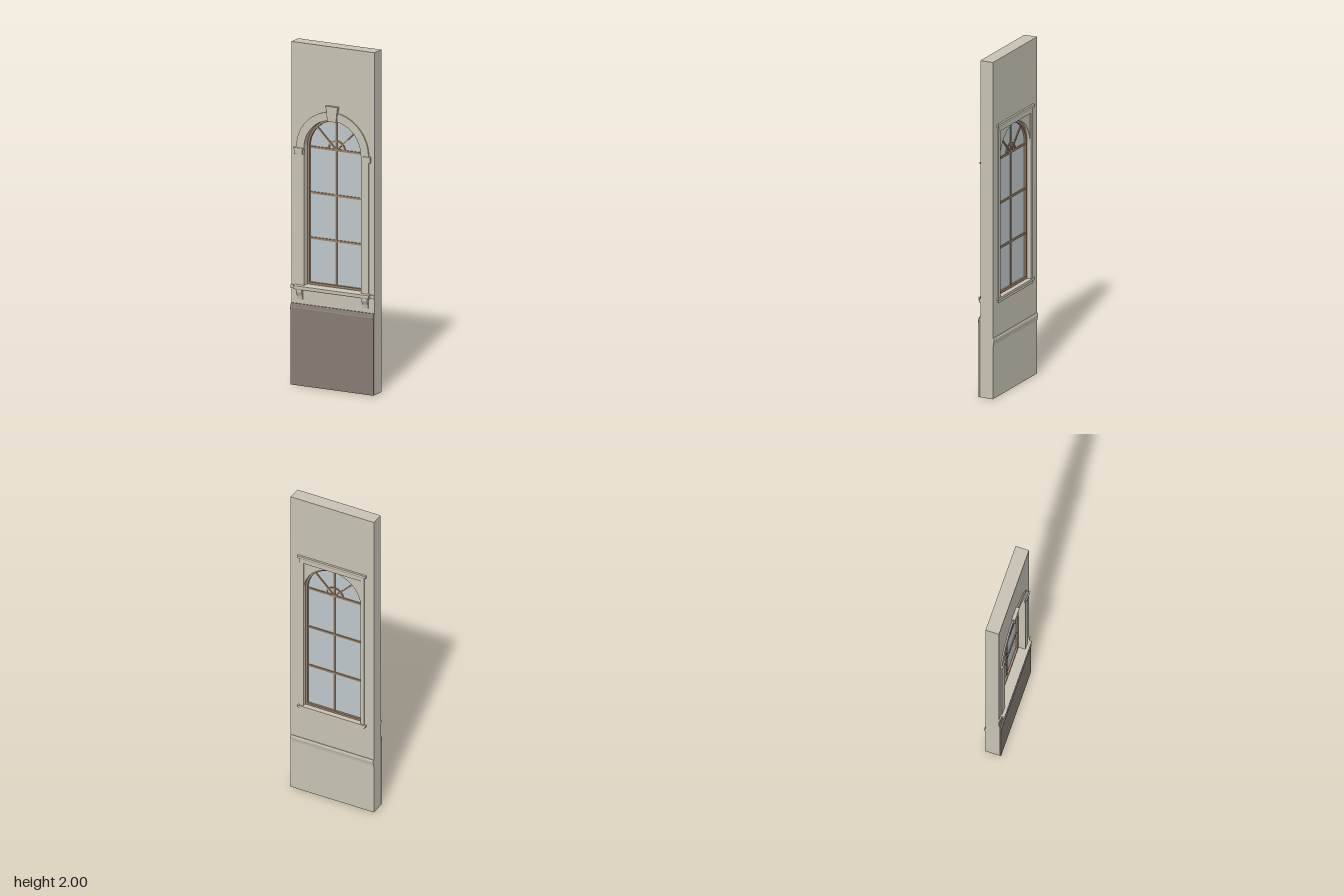
import * as THREE from 'three';

const mat = (name, color) => {
  const m = new THREE.MeshStandardMaterial({ color });
  m.name = name;
  return m;
};

export function createModel() {
  const plaster = mat('plaster', 0xc8c3b5);
  const stone = mat('baseStone', 0x877c74);
  const wood = mat('wood', 0x9c8164);
  const glass = mat('glass', 0xc0c8cb);

  const model = new THREE.Group();
  model.name = 'archedWindowWall';

  const W = 0.267, BACK = -0.047, FRONT = 0.033;   // wall half width and faces
  const R = 0.183, SPRING = 1.387, SILL = 0.587;   // window opening
  const PANE = -0.015;                             // middle plane of the sash

  const add = (name, geo, material, parent = model) => {
    const mesh = new THREE.Mesh(geo, material);
    mesh.name = name;
    parent.add(mesh);
    return mesh;
  };
  // Box given by its limits
  const box = (name, x0, x1, y0, y1, z0, z1, material = plaster, parent = model) =>
    add(name, new THREE.BoxGeometry(x1 - x0, y1 - y0, z1 - z0)
      .translate((x0 + x1) / 2, (y0 + y1) / 2, (z0 + z1) / 2), material, parent);
  // Shape drawn in x and y, given thickness in z
  const plate = (name, shape, z0, z1, material = plaster, parent = model) =>
    add(name, new THREE.ExtrudeGeometry(shape, { depth: z1 - z0, bevelEnabled: false, curveSegments: 40 })
      .translate(0, 0, z0), material, parent);
  const polygon = pts => new THREE.Shape(pts.map(p => new THREE.Vector2(...p)));
  // Moulding: a [z, y] profile run along x
  const moulding = (name, pts, x0, x1, material = plaster, parent = model) =>
    add(name, new THREE.ExtrudeGeometry(polygon(pts), { depth: x1 - x0, bevelEnabled: false })
      .rotateY(-Math.PI / 2).translate(x1, 0, 0), material, parent);
  const arched = (r, y0, Type = THREE.Shape) => {
    const s = new Type();
    s.moveTo(-r, y0);
    s.lineTo(r, y0);
    s.lineTo(r, SPRING);
    s.absarc(0, SPRING, r, 0, Math.PI, false);
    s.closePath();
    return s;
  };
  const halfRing = (outer, inner) => {
    const s = new THREE.Shape();
    s.absarc(0, SPRING, outer, 0, Math.PI, false);
    s.absarc(0, SPRING, inner, Math.PI, 0, true);
    s.closePath();
    return s;
  };

  // Wall with arched opening
  const wall = polygon([[-W, 0], [W, 0], [W, 2], [-W, 2]]);
  wall.holes.push(arched(R, SILL, THREE.Path));
  plate('wall', wall, BACK, FRONT);

  // Stone base with stepped cap
  moulding('base', [[FRONT, 0], [0.045, 0], [0.045, 0.44], [FRONT, 0.44]], -W, W, stone);
  moulding('baseCap', [[FRONT, 0.44], [0.049, 0.44], [0.049, 0.452], [0.045, 0.458],
    [0.043, 0.468], [0.039, 0.476], [FRONT, 0.476]], -W, W, stone);

  // Front surround
  const front = new THREE.Group();
  front.name = 'frontSurround';
  model.add(front);
  plate('archTrim', halfRing(0.232, R), FRONT, 0.041, plaster, front);
  for (const s of [-1, 1]) {
    const span = (a, b) => (s > 0 ? [a, b] : [-b, -a]);
    box('pilaster', ...span(R, 0.232), SILL, 1.352, FRONT, 0.04, plaster, front);
    box('impost', ...span(0.191, 0.243), 1.352, 1.378, FRONT, 0.045, plaster, front);
    box('impostCap', ...span(0.188, 0.246), 1.378, 1.388, FRONT, 0.048, plaster, front);
    moulding('sillBracket', [[FRONT, 0.503], [0.037, 0.503], [0.041, 0.525], [0.051, 0.545],
      [0.052, 0.562], [FRONT, 0.562]], ...span(0.192, 0.228), plaster, front);
  }
  plate('keystone', polygon([[-0.028, 1.566], [0.028, 1.566], [0.036, 1.643], [-0.036, 1.643]]),
    FRONT, 0.05, plaster, front);
  box('keystoneCap', -0.04, 0.04, 1.643, 1.655, FRONT, 0.053, plaster, front);
  moulding('sill', [[FRONT, 0.562], [0.055, 0.562], [0.058, 0.568], [0.058, 0.583],
    [FRONT, SILL]], -0.242, 0.242, plaster, front);
  box('stringCourse', -W, W, 0.562, 0.583, FRONT, 0.041, plaster, front);

  // Back surround and rail
  const back = new THREE.Group();
  back.name = 'backSurround';
  model.add(back);
  for (const s of [-1, 1]) {
    const x = s * 0.195;
    box('backCasing', x - 0.012, x + 0.012, SILL, 1.572, -0.053, BACK, plaster, back);
  }
  box('backLintel', -0.207, 0.207, 1.572, 1.6, -0.054, BACK, plaster, back);
  moulding('backCornice', [[BACK, 1.598], [-0.055, 1.598], [-0.059, 1.606], [-0.059, 1.617], [BACK, 1.617]]
    .reverse(), -0.219, 0.219, plaster, back);
  box('backSill', -0.219, 0.219, 0.573, SILL, -0.059, BACK, plaster, back);
  box('backApron', -0.207, 0.207, 0.556, 0.573, -0.053, BACK, plaster, back);
  moulding('backRail', [[BACK, 0.318], [-0.05, 0.318], [-0.052, 0.335], [-0.055, 0.343],
    [-0.055, 0.355], [-0.051, 0.362], [BACK, 0.362]].reverse(), -W, W, plaster, back);

  // Sash: frame, glass and glazing bars
  const sash = new THREE.Group();
  sash.name = 'sash';
  model.add(sash);
  const frame = arched(R, SILL);
  frame.holes.push(arched(R - 0.013, SILL + 0.013, THREE.Path));
  plate('windowFrame', frame, PANE - 0.014, PANE + 0.014, wood, sash);
  plate('glass', arched(R - 0.005, SILL + 0.005), PANE - 0.002, PANE + 0.002, glass, sash);
  const z0 = PANE - 0.008, z1 = PANE + 0.008;
  box('verticalBar', -0.005, 0.005, SILL + 0.006, SPRING + R - 0.006, z0, z1, wood, sash);
  for (const y of [0.857, 1.122, 1.388])
    box('crossBar', -R + 0.006, R - 0.006, y - 0.006, y + 0.006, z0, z1, wood, sash);
  plate('fanArc', halfRing(0.058, 0.048), z0, z1, wood, sash);
  for (const a of [Math.PI / 4, -Math.PI / 4]) {
    const spoke = box('fanBar', -0.004, 0.004, 0, R - 0.006, z0, z1, wood, sash);
    spoke.position.y = SPRING;
    spoke.rotation.z = a;
  }
  return model;
}
